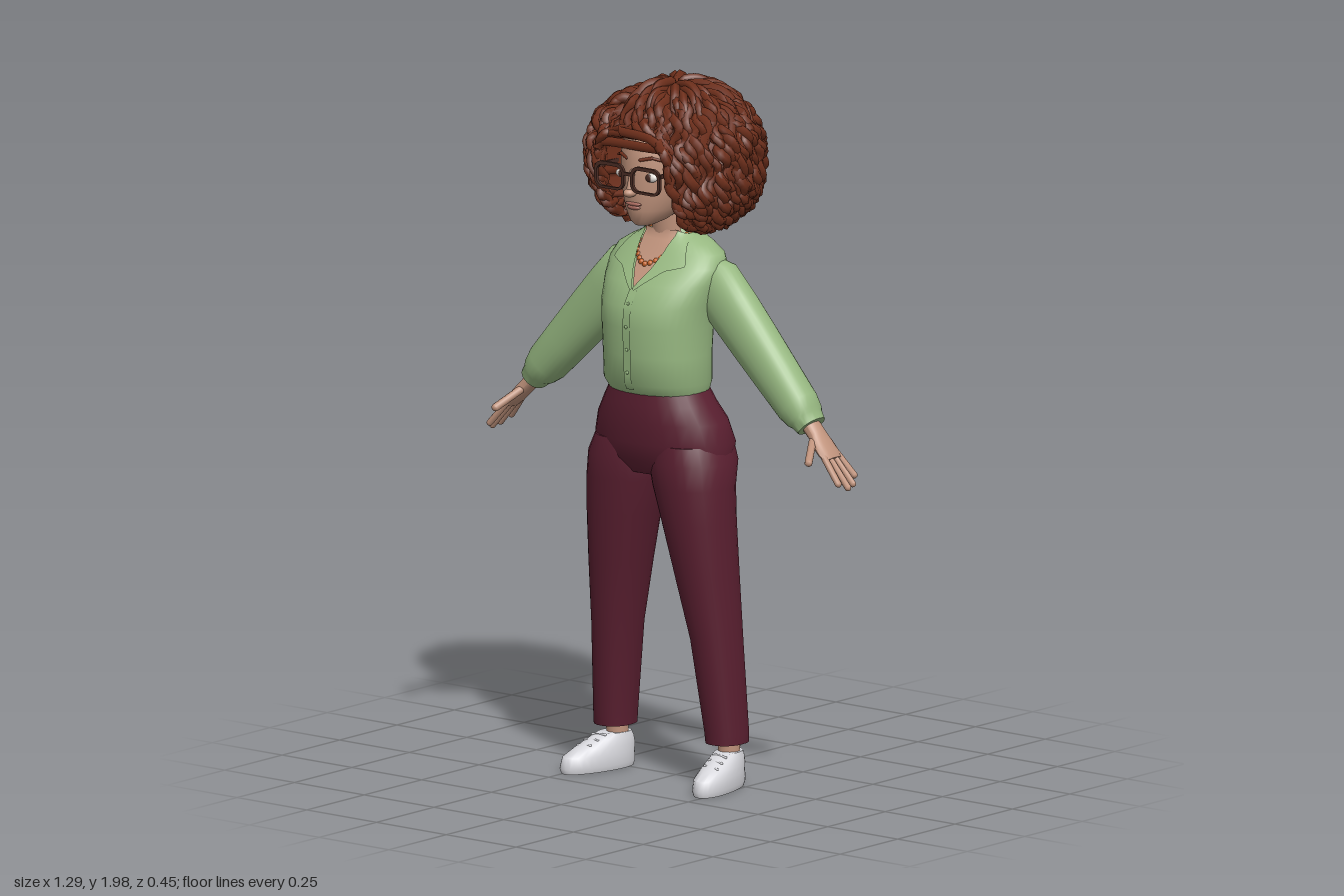
import * as THREE from 'three';
import { mergeGeometries, toCreasedNormals } from 'three/addons/utils/BufferGeometryUtils.js';

const mat = (name, color, side = THREE.FrontSide) => {
  const m = new THREE.MeshStandardMaterial({ color, side });
  m.name = name;
  return m;
};

function geometryFrom(pos, idx, crease) {
  const g = new THREE.BufferGeometry();
  g.setAttribute('position', new THREE.Float32BufferAttribute(pos, 3));
  g.setIndex(idx);
  return toCreasedNormals(g, crease);
}

const spow = (v, e) => Math.sign(v) * Math.abs(v) ** e;

// Solid through horizontal oval rings [y, cx, cz, rx, rz], listed bottom to top
function loft(rings, p = 2.2, seg = 28) {
  const pos = [], idx = [], n = rings.length;
  for (const [y, cx, cz, rx, rz] of rings) {
    for (let j = 0; j < seg; j++) {
      const a = (j / seg) * Math.PI * 2;
      pos.push(cx + rx * spow(Math.sin(a), 2 / p), y, cz + rz * spow(Math.cos(a), 2 / p));
    }
  }
  for (let i = 0; i < n - 1; i++) {
    for (let j = 0; j < seg; j++) {
      const a = i * seg + j, b = i * seg + ((j + 1) % seg);
      idx.push(a, b, b + seg, a, b + seg, a + seg);
    }
  }
  const lo = n * seg, hi = lo + 1, top = (n - 1) * seg;
  for (const r of [rings[0], rings[n - 1]]) pos.push(r[1], r[0], r[2]);
  for (let j = 0; j < seg; j++) {
    const k = (j + 1) % seg;
    idx.push(lo, k, j, hi, top + j, top + k);
  }
  return geometryFrom(pos, idx, 0.9);
}

// Mirror to the other side, keeping faces outward
function mirror(src) {
  const g = src.index ? src.toNonIndexed() : src.clone();
  g.scale(-1, 1, 1);
  for (const { array, itemSize: s } of Object.values(g.attributes)) {
    for (let i = 0; i < array.length; i += 3 * s) {
      for (let k = 0; k < s; k++) [array[i + k], array[i + 2 * s + k]] = [array[i + 2 * s + k], array[i + k]];
    }
  }
  return g;
}

const TORSO = [
  [1.11, 0, 0.072, 0.148, 0.112], [1.14, 0, 0.078, 0.157, 0.128], [1.22, 0, 0.08, 0.158, 0.13],
  [1.3, 0, 0.079, 0.161, 0.135], [1.36, 0, 0.074, 0.167, 0.136], [1.42, 0, 0.052, 0.18, 0.122],
  [1.465, 0, 0.03, 0.188, 0.105], [1.5, 0, 0.018, 0.172, 0.088], [1.525, 0, 0.013, 0.132, 0.074],
  [1.55, 0, 0.01, 0.08, 0.058]];

// Depth of the shirt front at x, y
function torsoZ(x, y) {
  let i = 0;
  while (i < TORSO.length - 2 && TORSO[i + 1][0] < y) i++;
  const a = TORSO[i], b = TORSO[i + 1];
  const t = THREE.MathUtils.clamp((y - a[0]) / (b[0] - a[0]), 0, 1);
  const [, , cz, rx, rz] = a.map((v, k) => v + (b[k] - v) * t);
  return cz + rz * Math.max(0, 1 - (Math.abs(x) / rx) ** 2.2) ** (1 / 2.2);
}

// Thin sheet lying on the shirt front between two outlines of [x, y] points
function patch(left, right, lift, rows = 14, cols = 8) {
  const at = (line, t) => {
    const f = t * (line.length - 1), i = Math.min(line.length - 2, Math.floor(f));
    return line[i].map((v, k) => v + (line[i + 1][k] - v) * (f - i));
  };
  const pos = [], idx = [];
  for (let i = 0; i <= rows; i++) {
    const l = at(left, i / rows), r = at(right, i / rows);
    for (let j = 0; j <= cols; j++) {
      const x = l[0] + (r[0] - l[0]) * j / cols, y = l[1] + (r[1] - l[1]) * j / cols;
      pos.push(x, y, torsoZ(x, y) + lift);
      const a = i * (cols + 1) + j, b = a + cols + 1;
      if (i < rows && j < cols) idx.push(a, b, b + 1, a, b + 1, a + 1);
    }
  }
  return geometryFrom(pos, idx, 1.2);
}

// Rounded rod between two points
function rod(a, b, r) {
  const A = new THREE.Vector3(...a), d = new THREE.Vector3(...b).sub(A), len = d.length();
  const g = new THREE.CapsuleGeometry(r, len, 4, 8);
  g.applyQuaternion(new THREE.Quaternion().setFromUnitVectors(new THREE.Vector3(0, 1, 0), d.clone().normalize()));
  return g.translate(A.x + d.x / 2, A.y + d.y / 2, A.z + d.z / 2);
}

const ball = (x, y, z, rx, ry, rz) => new THREE.SphereGeometry(1, 16, 12).scale(rx, ry, rz).translate(x, y, z);
const box = (x, y, z, w, h, d) => new THREE.BoxGeometry(w, h, d).translate(x, y, z);

// Hair: point on the rounded mass, kept clear of the face
const HAIR_Y = 1.765;
function hairPoint(phi, theta, k) {
  const s = Math.abs(Math.sin(phi)) ** 0.8, c = Math.cos(phi);
  const x = 0.25 * s * Math.sin(theta) * k, z = 0.205 * s * Math.cos(theta) * k;
  let y = HAIR_Y + 0.205 * (c < 0 ? spow(c, 0.8) : c) * k;
  if (c > 0) {
    const front = THREE.MathUtils.smoothstep(z, -0.05, 0.08);
    y -= (0.035 * Math.exp(-(((x + 0.08) / 0.025) ** 2)) * front + 0.025 * THREE.MathUtils.smoothstep(-x, 0.06, 0.1)) * c;
  }
  return new THREE.Vector3(x, y, z);
}
function faceHalfWidth({ y, z }) {
  if (z < 0.02 || y > 1.86) return 0;
  return y > 1.78 ? 0.118 * Math.sqrt(1 - ((y - 1.78) / 0.08) ** 2) : 0.118;
}

function hairGeometry() {
  let seed = 7;
  const rand = () => (seed = (seed * 16807) % 2147483647) / 2147483647;
  const core = new THREE.SphereGeometry(1, 72, 48), p = core.attributes.position;
  for (let i = 0; i < p.count; i++) {
    const v = hairPoint(Math.acos(THREE.MathUtils.clamp(p.getY(i), -1, 1)), Math.atan2(p.getX(i), p.getZ(i)), 0.96);
    if (Math.abs(v.x) < faceHalfWidth(v)) v.z = 0.01;
    p.setXYZ(i, v.x, v.y, v.z);
  }
  core.computeVertexNormals();
  const parts = [core], N = 560;
  for (let n = 0; n < N; n++) {
    const phi0 = Math.acos(1 - 1.9 * (n + 0.5) / N) - 0.2, theta0 = n * 2.39996 + rand() * 0.3;
    const start = hairPoint(Math.max(0.05, phi0 + 0.15), theta0, 1);
    if (Math.abs(start.x) < faceHalfWidth(start)) continue;
    const length = 0.5 + rand() * 0.25, turn = 8 + rand() * 5, phase = rand() * 6.28;
    const curl = 0.013 * THREE.MathUtils.smoothstep(phi0, 0.1, 1), pts = [];
    for (let i = 0; i <= 11; i++) {
      const t = i / 11, phi = Math.min(3, Math.max(0.05, phi0 + length * t)), w = turn * t + phase;
      const theta = theta0 + curl * Math.sin(w) / (0.22 * Math.max(0.3, Math.sin(phi)));
      const v = hairPoint(phi, theta, 0.9 + 0.12 * Math.sin(Math.PI * t) + curl * 3 * Math.cos(w));
      const clear = faceHalfWidth(v);
      if (clear && Math.abs(v.x) < clear + 0.01) v.x = Math.sign(v.x || 1) * (clear + 0.01);
      pts.push(v);
    }
    parts.push(new THREE.TubeGeometry(new THREE.CatmullRomCurve3(pts), 16, 0.011 + rand() * 0.005, 5));
  }
  return mergeGeometries(parts);
}

export function createModel() {
  const model = new THREE.Group();
  model.name = 'woman';
  const skin = mat('skin', 0xc0937c, THREE.DoubleSide), shirt = mat('shirt green', 0x97b881, THREE.DoubleSide);
  const pants = mat('trouser burgundy', 0x5a1f30), hair = mat('hair auburn', 0x70301c);
  const shoe = mat('shoe white', 0xd8d8dd), orange = mat('necklace orange', 0xc4622a);
  const frame = mat('glasses brown', 0x4a2c24), white = mat('eye white', 0xe6e0da), lip = mat('lip', 0xa5685c);

  const add = (name, geo, m) => {
    const mesh = new THREE.Mesh(geo, m);
    mesh.name = name;
    model.add(mesh);
  };
  const pair = (name, geo, m) => {
    add(name + 'Left', geo, m);
    add(name + 'Right', mirror(geo), m);
  };

  // Trousers
  add('trouserSeat', loft([[0.88, 0, 0.06, 0.12, 0.09], [0.92, 0, 0.05, 0.215, 0.126], [0.97, 0, 0.045, 0.218, 0.14],
    [1.03, 0, 0.055, 0.2, 0.135], [1.08, 0, 0.067, 0.17, 0.122], [1.125, 0, 0.072, 0.145, 0.111]]), pants);
  pair('trouserLeg', loft([[0.125, 0.2, 0.02, 0.055, 0.064], [0.155, 0.199, 0.021, 0.056, 0.066], [0.42, 0.177, 0.038, 0.067, 0.078],
    [0.6, 0.154, 0.052, 0.084, 0.093], [0.75, 0.134, 0.062, 0.1, 0.103], [0.85, 0.118, 0.064, 0.113, 0.111],
    [0.92, 0.108, 0.055, 0.118, 0.124], [0.97, 0.1, 0.05, 0.105, 0.12]]), pants);

  // Shirt
  add('shirtBody', loft(TORSO, 2.2, 40), shirt);
  add('placket', patch([[-0.013, 1.41], [-0.013, 1.125]], [[0.013, 1.41], [0.013, 1.125]], 0.004), shirt);
  for (let i = 0; i < 4; i++) {
    const y = 1.37 - i * 0.065;
    add('button', ball(0, y, torsoZ(0, y) + 0.005, 0.005, 0.005, 0.003), shirt);
  }
  const neckline = [[0.058, 1.56], [0.045, 1.5], [0.03, 1.46], [0, 1.41]];
  pair('collarFlap', patch(neckline, [[0.09, 1.545], [0.13, 1.475], [0.075, 1.46], [0.006, 1.405]], 0.011), shirt);
  add('collarBand', new THREE.CylinderGeometry(0.07, 0.088, 0.045, 28, 1, true, 0.9, Math.PI * 2 - 1.8)
    .scale(1, 1, 0.82).translate(0, 1.545, 0.012), shirt);

  // Arms are built hanging straight, then swung out
  const swing = (g) => g.rotateZ(0.764).translate(0.15, 1.42, 0.012);
  pair('sleeve', swing(loft([[-0.5, 0, 0, 0.038, 0.045], [-0.475, 0, 0, 0.043, 0.052], [-0.465, 0, 0, 0.05, 0.056],
    [-0.43, 0, 0, 0.06, 0.059], [-0.33, 0, 0, 0.067, 0.059], [-0.2, 0, 0, 0.075, 0.06], [-0.1, 0, 0, 0.08, 0.06],
    [0, 0, 0, 0.081, 0.058], [0.05, -0.01, 0, 0.06, 0.045]])), shirt);
  pair('hand', swing(loft([[-0.615, 0, 0.002, 0.011, 0.036], [-0.595, 0, 0.003, 0.015, 0.041], [-0.56, 0, 0.003, 0.018, 0.04],
    [-0.53, 0, 0, 0.02, 0.032], [-0.48, 0, 0, 0.025, 0.03]], 2, 16)), skin);
  const fingers = [[-0.028, -0.042, -0.675], [-0.009, -0.015, -0.7], [0.012, 0.013, -0.708], [0.031, 0.04, -0.69]]
    .map(([z0, z1, y]) => rod([0, -0.6, z0], [-0.004, y, z1], 0.0095));
  fingers.push(rod([-0.004, -0.545, 0.03], [-0.008, -0.602, 0.092], 0.0115));
  pair('fingers', swing(mergeGeometries(fingers)), skin);

  // Feet
  const turn = (g) => g.rotateY(0.22).translate(0.2, 0, 0);
  pair('ankle', new THREE.CylinderGeometry(0.033, 0.03, 0.1, 16).translate(0.2, 0.12, 0.012), skin);
  pair('shoe', turn(loft([[0, 0, 0.08, 0.045, 0.12], [0.015, 0, 0.08, 0.05, 0.125], [0.045, 0, 0.076, 0.048, 0.12],
    [0.065, 0, 0.055, 0.045, 0.1], [0.085, 0, 0.034, 0.04, 0.074], [0.1, 0, 0.02, 0.035, 0.052]])), shoe);
  const laces = [0, 1, 2].map((i) => rod([-0.022, 0.098 - i * 0.012, 0.07 + i * 0.026], [0.022, 0.094 - i * 0.012, 0.08 + i * 0.026], 0.004));
  pair('laces', turn(mergeGeometries(laces)), shoe);

  // Neck, open neckline and bead necklace
  add('neck', loft([[1.44, 0, 0.005, 0.06, 0.06], [1.52, 0, 0.015, 0.055, 0.056], [1.58, 0, 0.025, 0.05, 0.055], [1.65, 0, 0.03, 0.052, 0.06]], 2), skin);
  add('neckline', patch(neckline.map(([x, y]) => [-x, y]), neckline, 0.005), skin);
  const chain = new THREE.CatmullRomCurve3([[0, 1.47, 0.135], [0.04, 1.488, 0.112], [0.065, 1.53, 0.065], [0.06, 1.56, 0.0],
    [0, 1.57, -0.04], [-0.06, 1.56, 0.0], [-0.065, 1.53, 0.065], [-0.04, 1.488, 0.112]].map((v) => new THREE.Vector3(...v)), true);
  add('necklace', mergeGeometries(chain.getSpacedPoints(32).slice(1)
    .map((v) => new THREE.SphereGeometry(0.009, 8, 6).translate(v.x, v.y, v.z))), orange);

  // Head and face
  add('head', loft([[1.585, 0, 0.135, 0.025, 0.032], [1.597, 0, 0.115, 0.045, 0.064], [1.63, 0, 0.08, 0.074, 0.107],
    [1.67, 0, 0.05, 0.095, 0.14], [1.72, 0, 0.04, 0.108, 0.152], [1.78, 0, 0.035, 0.112, 0.154],
    [1.84, 0, 0.03, 0.106, 0.145], [1.88, 0, 0.02, 0.08, 0.1]], 2, 32), skin);
  add('nose', mergeGeometries([ball(0, 1.683, 0.2, 0.017, 0.013, 0.022), rod([0, 1.69, 0.203], [0, 1.74, 0.188], 0.009)]), skin);
  add('mouth', mergeGeometries([ball(0, 1.649, 0.185, 0.028, 0.006, 0.009), ball(0, 1.639, 0.184, 0.023, 0.007, 0.009)]), lip);
  pair('eye', ball(0.05, 1.727, 0.172, 0.023, 0.013, 0.01), white);
  pair('iris', ball(0.049, 1.727, 0.179, 0.01, 0.011, 0.005), frame);
  pair('eyebrow', mergeGeometries([rod([0.024, 1.776, 0.184], [0.055, 1.783, 0.172], 0.005), rod([0.055, 1.783, 0.172], [0.085, 1.772, 0.146], 0.004)]), hair);

  // Glasses
  const rounded = (P, x0, y0, x1, y1, r) => {
    const s = new P();
    s.absarc(x1 - r, y1 - r, r, 0, Math.PI / 2);
    s.absarc(x0 + r, y1 - r, r, Math.PI / 2, Math.PI);
    s.absarc(x0 + r, y0 + r, r, Math.PI, Math.PI * 1.5);
    s.absarc(x1 - r, y0 + r, r, Math.PI * 1.5, Math.PI * 2);
    return s;
  };
  const rim = rounded(THREE.Shape, 0.012, 1.687, 0.117, 1.763, 0.026);
  rim.holes.push(rounded(THREE.Path, 0.02, 1.694, 0.109, 1.753, 0.02));
  pair('glassesRim', new THREE.ExtrudeGeometry(rim, { depth: 0.009, bevelEnabled: false, curveSegments: 6 }).translate(0, 0, 0.205), frame);
  pair('glassesTemple', box(0.116, 1.745, 0.115, 0.006, 0.012, 0.19), frame);
  add('glassesBridge', box(0, 1.737, 0.209, 0.034, 0.009, 0.008), frame);

  // Curly hair
  add('curlyHair', hairGeometry(), hair);
  return model;
}
